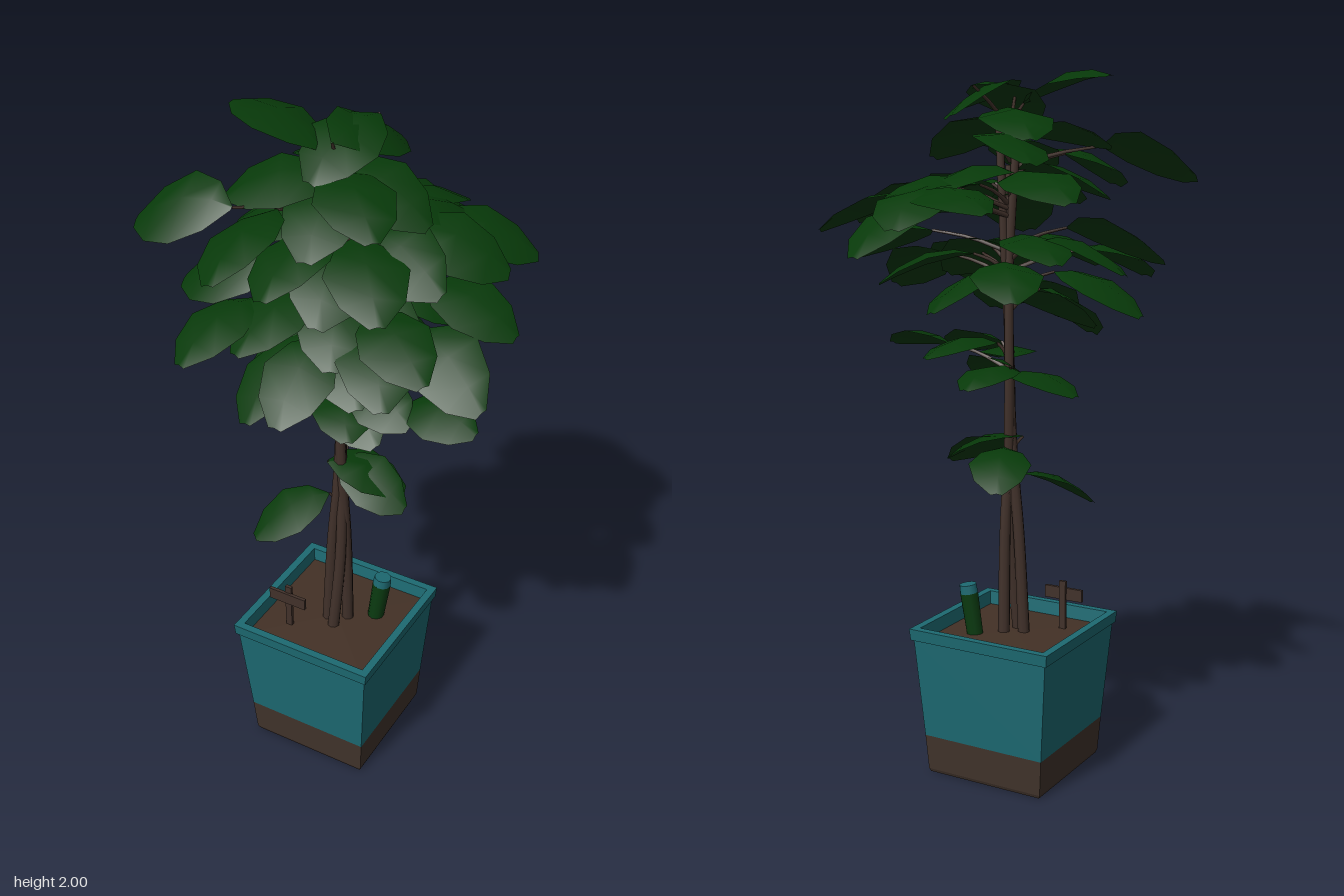
import * as THREE from 'three';

const mat = (name, color, side = THREE.FrontSide) => {
  const m = new THREE.MeshStandardMaterial({ color, side });
  m.name = name;
  return m;
};

export function createModel() {
  const leafGreen = mat('leafGreen', 0x073909, THREE.DoubleSide);
  const teal = mat('potTeal', 0x1d6a72);
  const brown = mat('baseBrown', 0x41332b);
  const earth = mat('soilBrown', 0x433126);
  const bark = mat('barkBrown', 0x41312a);
  const bottleGreen = mat('bottleGreen', 0x0a3a10);

  const model = new THREE.Group();
  const add = (name, geometry, material, parent = model) => {
    const mesh = new THREE.Mesh(geometry, material);
    mesh.name = name;
    parent.add(mesh);
    return mesh;
  };
  const V = (x, y, z) => new THREE.Vector3(x, y, z);

  // Square pot: four-sided lathes, profiles given as [half width, height]
  const squareLathe = (profile) => {
    const pts = profile.map(([w, y]) => new THREE.Vector2(w * Math.SQRT2, y));
    const g = new THREE.LatheGeometry(pts, 4, Math.PI / 4).toNonIndexed();
    g.computeVertexNormals();
    return g;
  };
  const pot = new THREE.Group();
  pot.name = 'pot';
  pot.position.set(-0.033, 0, 0.075);
  model.add(pot);
  add('potBase', squareLathe([[0, 0], [0.18, 0], [0.184, 0.01], [0.191, 0.115]]), brown, pot);
  add('potWall', squareLathe([[0.191, 0.115], [0.213, 0.408], [0.22, 0.41], [0.223, 0.444],
    [0.2, 0.444], [0.195, 0.39]]), teal, pot);
  add('soil', squareLathe([[0.198, 0.404], [0, 0.41]]), earth, pot);

  // Tapered tube along a curve
  const taperedTube = (points, r0, r1, segments, sides) => {
    const curve = new THREE.CatmullRomCurve3(points);
    const g = new THREE.TubeGeometry(curve, segments, r0, sides);
    const p = g.attributes.position, v = new THREE.Vector3();
    for (let i = 0; i < p.count; i++) {
      const t = Math.floor(i / (sides + 1)) / segments;
      const c = curve.getPointAt(t);
      v.fromBufferAttribute(p, i).sub(c).multiplyScalar(1 + (r1 / r0 - 1) * t).add(c);
      p.setXYZ(i, v.x, v.y, v.z);
    }
    return g;
  };

  // Three stems leaning together
  const stems = [
    [V(-0.056, 0.38, 0.09), V(-0.04, 0.7, 0.085), V(-0.02, 0.95, 0.08), V(-0.012, 1.4, 0.07), V(-0.04, 1.9, 0.07)],
    [V(-0.004, 0.38, 0.06), V(-0.002, 0.7, 0.07), V(-0.01, 1.1, 0.085), V(0, 1.6, 0.06), V(0.015, 1.88, 0.06)],
    [V(-0.025, 0.38, 0.115), V(-0.008, 0.7, 0.09), V(-0.02, 1.2, 0.06), V(-0.01, 1.75, 0.075)],
  ];
  for (const path of stems) add('stem', taperedTube(path, 0.018, 0.011, 24, 8), bark);

  // Broad pointed leaf: arched midrib, edges lowered, rolled about its length
  const outline = [[0, 0.02], [0.2, 0.26], [0.5, 0.39], [0.8, 0.29], [1, 0.07]];
  const leafGeometry = (base, tip, length, roll) => {
    const dir = tip.clone().sub(base);
    const side = V(-dir.z, 0, dir.x).normalize();
    const pos = [], index = [];
    outline.forEach(([t, width], i) => {
      const w = width * length;
      const mid = base.clone().addScaledVector(dir, t);
      mid.y += 0.65 * length * t * (1 - t);
      for (let k = -1; k <= 1; k++) {
        const q = mid.clone().addScaledVector(side, k * w * Math.cos(roll));
        q.y -= Math.abs(k) * w * 0.24 + k * w * Math.sin(roll);
        pos.push(q.x, q.y, q.z);
        if (i && k < 1) {
          const b = i * 3 + k + 1, a = b - 3;
          index.push(a, b, a + 1, a + 1, b, b + 1);
        }
      }
    });
    const g = new THREE.BufferGeometry();
    g.setAttribute('position', new THREE.Float32BufferAttribute(pos, 3));
    g.setIndex(index);
    g.computeVertexNormals();
    return g;
  };

  // Leaf tiers with leaf length; rows are tip x, y, z, heading, drop and roll (degrees)
  const tiers = {
    crown: [0.27, [
      [-0.31, 1.985, 0.08, 184, -0.07, 5], [-0.03, 1.87, 0.19, 100, 0.09, -8],
      [0.04, 1.88, -0.15, -80, 0.07, 22], [0.24, 1.77, 0.08, 5, 0.1, 15],
      [0.19, 1.8, 0.27, 42, 0.07, 0], [-0.17, 1.82, -0.1, 225, 0.07, 0],
      [-0.465, 1.72, 0.31, 172, 0.08, -35], [-0.15, 1.69, 0.46, 96, 0.09, 15],
      [-0.22, 1.76, -0.19, 218, 0.06, -10], [0.02, 1.72, 0.3, 80, 0.1, 0],
      [-0.25, 1.8, 0.22, 150, 0.04, -15],
    ]],
    upper: [0.28, [
      [0.14, 1.53, -0.46, -75, 0.14, 0], [0.04, 1.6, -0.43, -98, 0.09, 0],
      [-0.165, 1.64, -0.31, 195, 0.03, 8], [0.39, 1.58, -0.26, -25, 0.09, 12],
      [0.38, 1.6, -0.1, -15, 0.09, 20], [0.3, 1.62, 0.12, 15, 0.08, 25],
      [0.06, 1.56, 0.32, 75, 0.11, -10], [-0.05, 1.64, 0.39, 95, 0.08, 10],
      [0.22, 1.6, 0.3, 50, 0.1, 0], [-0.3, 1.66, -0.12, 205, 0.06, 10],
      [-0.3, 1.67, 0.1, 180, 0.06, -20], [0.2, 1.66, -0.25, -50, 0.04, 0],
      [-0.43, 1.5, 0.18, 174, 0.08, -30], [0.08, 1.68, -0.2, -65, 0.05, 0],
    ]],
    middle: [0.26, [
      [0.455, 1.49, 0.01, 2, 0.08, 12], [0.465, 1.39, 0.22, 24, 0.11, 25],
      [0.26, 1.4, 0.35, 55, 0.1, 0], [-0.385, 1.47, 0.03, 184, 0.08, -10],
      [-0.39, 1.35, 0.13, 178, 0.11, 5], [-0.26, 1.43, 0.45, 106, 0.09, 5],
      [-0.12, 1.26, 0.38, 98, 0.15, 10], [-0.01, 1.3, 0.41, 88, 0.13, -5],
      [0.15, 1.33, 0.28, 50, 0.1, 10], [-0.2, 1.3, 0.24, 140, 0.1, -20],
      [-0.15, 1.4, -0.16, 235, 0.08, 0], [0.1, 1.36, -0.16, -70, 0.1, 10],
      [0.28, 1.43, -0.14, -35, 0.08, 10], [0.24, 1.44, 0.15, 20, 0.09, 25],
      [-0.25, 1.5, -0.1, 215, 0.05, 0], [-0.14, 1.46, 0.38, 110, 0.09, 0],
      [0.1, 1.45, 0.32, 65, 0.1, 0], [0.33, 1.45, 0.27, 30, 0.08, 10],
    ]],
    lower: [0.22, [
      [-0.24, 1.13, 0.04, 186, 0.04, 0], [0.4, 1.23, 0.1, 5, 0.01, 20],
      [0.14, 1.14, 0.16, 35, 0.06, 25], [0.02, 1.15, -0.12, -80, 0.03, 0],
      [0.1, 1.19, 0.24, 55, 0.03, 0], [0.14, 1.23, -0.13, -55, 0.03, 0],
      [0.23, 1.22, 0.14, 15, 0.04, 25], [-0.19, 0.78, 0.26, 132, 0.1, -10],
      [-0.14, 0.9, -0.22, 245, 0.08, 0], [0.19, 0.9, 0.08, 2, 0.08, 25],
      [0.16, 0.92, 0.02, -20, 0.07, 10],
    ]],
  };
  for (const [tier, [length, rows]] of Object.entries(tiers)) {
    const group = new THREE.Group();
    group.name = tier + 'Foliage';
    model.add(group);
    for (const [x, y, z, heading, drop, roll] of rows) {
      const a = THREE.MathUtils.degToRad(heading);
      const tip = V(x, y, z);
      const base = V(x - Math.cos(a) * length, y + drop, z - Math.sin(a) * length);
      add('leaf', leafGeometry(base, tip, length, THREE.MathUtils.degToRad(roll)), leafGreen, group);
      // Twig from the stem to the leaf base
      const core = V(-0.015, Math.min(base.y - 0.06, 1.84), 0.072);
      if (Math.hypot(base.x - core.x, base.z - core.z) > 0.03) {
        const bend = core.clone().lerp(base, 0.5);
        bend.y += 0.01;
        add('twig', taperedTube([core, bend, base], 0.007, 0.004, 5, 5), bark, group);
      }
    }
  }

  // Wooden marker sign
  const sign = new THREE.Group();
  sign.name = 'sign';
  sign.position.set(-0.138, 0, 0.175);
  model.add(sign);
  add('signPost', new THREE.BoxGeometry(0.02, 0.16, 0.01), bark, sign).position.y = 0.472;
  add('signBoard', new THREE.BoxGeometry(0.12, 0.036, 0.01), bark, sign).position.set(0, 0.512, 0.007);

  // Tilted feeding bottle pushed into the soil
  const bottle = new THREE.Group();
  bottle.name = 'bottle';
  bottle.position.set(0.062, 0.385, 0.012);
  bottle.rotation.set(-0.05, 0, -0.13);
  model.add(bottle);
  add('bottleBody', new THREE.CylinderGeometry(0.027, 0.024, 0.145, 10), bottleGreen, bottle).position.y = 0.073;
  add('bottleCap', new THREE.CylinderGeometry(0.025, 0.027, 0.026, 10), teal, bottle).position.y = 0.158;

  return model;
}
